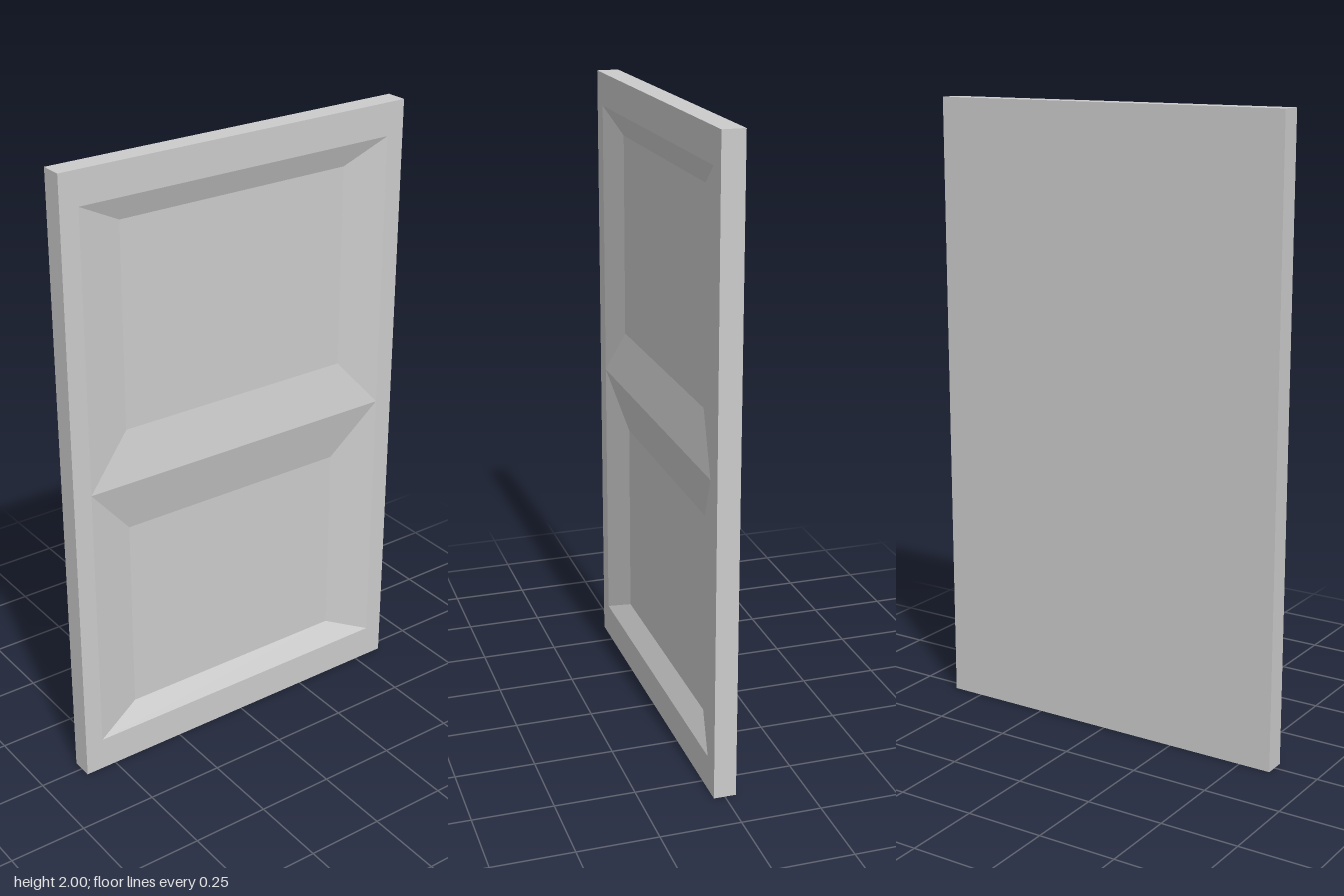
import * as THREE from 'three';

// Rectangle ring, counter-clockwise seen from the front
const ring = (x0, x1, y0, y1, z) => [[x0, y0, z], [x1, y0, z], [x1, y1, z], [x0, y1, z]];

// Joins successive rings with flat quads; a ring may shrink to a point or line
function loft(rings, closeEnd) {
  const pos = [];
  for (let r = 0; r < rings.length - 1; r++) {
    const a = rings[r], b = rings[r + 1];
    for (let i = 0; i < 4; i++) {
      const j = (i + 1) % 4;
      pos.push(...a[i], ...a[j], ...b[j], ...a[i], ...b[j], ...b[i]);
    }
  }
  if (closeEnd) {
    const e = rings[rings.length - 1];
    pos.push(...e[0], ...e[1], ...e[2], ...e[0], ...e[2], ...e[3]);
  }
  const g = new THREE.BufferGeometry();
  g.setAttribute('position', new THREE.Float32BufferAttribute(pos, 3));
  g.computeVertexNormals();
  return g;
}

export function createModel() {
  const group = new THREE.Group();
  group.name = 'door';
  const material = new THREE.MeshStandardMaterial({ color: 0xcccccc, flatShading: true });
  const add = (name, geometry) => {
    const mesh = new THREE.Mesh(geometry, material);
    mesh.name = name;
    group.add(mesh);
  };

  const W = 0.605, H = 2, Z = 0.035;        // half width, height, half thickness
  const OX = 0.545, Y0 = 0.11, YM = 1, Y1 = 1.895; // recess opening and middle ridge

  // Slab: back, edges and the flat border around the front opening
  add('doorSlab', loft([
    ring(0, 0, 1, 1, -Z),
    ring(-W, W, 0, H, -Z),
    ring(-W, W, 0, H, Z),
    ring(-OX, OX, Y0, Y1, Z),
  ], false));

  // Two bevelled recesses that meet in a sharp ridge
  add('upperPanel', loft([
    ring(-OX, OX, YM, Y1, Z),
    ring(-0.4, 0.4, 1.165, 1.82, Z - 0.028),
  ], true));
  add('lowerPanel', loft([
    ring(-OX, OX, Y0, YM, Z),
    ring(-0.395, 0.39, 0.18, 0.825, Z - 0.038),
  ], true));

  return group;
}
